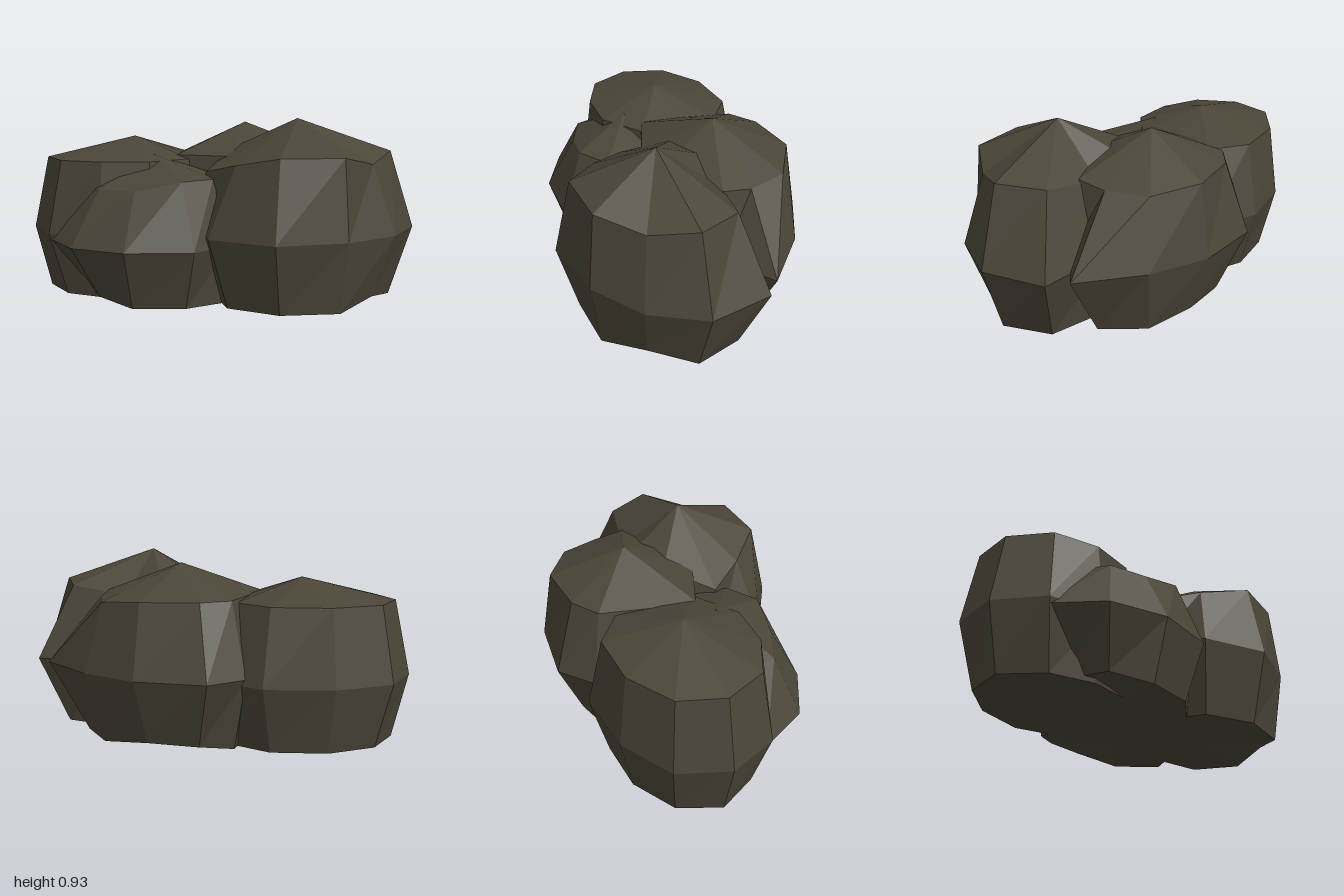
import * as THREE from 'three';

const SIDES = 10;

// One faceted boulder: base, waist and shoulder rings of radii, closed by a flat base and a peaked top.
// Radii follow the listed angles, in degrees from +x towards +z; dip shifts single corners up or down.
function boulder({ x, z, peak, angles, rings }) {
  const pos = [];
  const index = [];
  for (const { y, r, dip = {} } of rings) {
    for (let i = 0; i < SIDES; i++) {
      const a = THREE.MathUtils.degToRad(angles[i]);
      pos.push(x + Math.cos(a) * r[i], y + (dip[i] || 0), z + Math.sin(a) * r[i]);
    }
  }
  const base = pos.length / 3;
  const top = base + 1;
  pos.push(x, 0, z, x, peak, z);
  const last = (rings.length - 1) * SIDES;
  for (let i = 0; i < SIDES; i++) {
    const j = (i + 1) % SIDES;
    for (let k = 0; k < last; k += SIDES) {
      const a = k + i, b = k + j, c = a + SIDES, d = b + SIDES;
      index.push(a, c, b, b, c, d);
    }
    index.push(base, i, j, top, last + j, last + i);
  }
  const g = new THREE.BufferGeometry();
  g.setAttribute('position', new THREE.Float32BufferAttribute(pos, 3));
  g.setIndex(index);
  const flat = g.toNonIndexed();
  flat.computeVertexNormals();
  return flat;
}

export function createModel() {
  const group = new THREE.Group();
  group.name = 'rockCluster';
  const stone = new THREE.MeshStandardMaterial({ color: 0x4b4538 });
  stone.name = 'darkStone';

  const boulders = {
    frontLeftBoulder: {
      x: 0.38, z: 0.2, peak: 0.93,
      angles: [0, 30, 67, 111, 150, 180, 216, 252, 288, 330],
      rings: [
        { y: 0, r: [0.5, 0.41, 0.4, 0.4, 0.44, 0.42, 0.4, 0.38, 0.38, 0.5], dip: { 1: 0.04 } },
        { y: 0.36, r: [0.62, 0.52, 0.457, 0.503, 0.555, 0.52, 0.45, 0.42, 0.43, 0.66] },
        { y: 0.76, r: [0.49, 0.4, 0.416, 0.415, 0.39, 0.47, 0.39, 0.34, 0.31, 0.46], dip: { 1: -0.05, 4: -0.05, 5: -0.1, 8: -0.06, 9: -0.015 } },
      ],
    },
    backLeftBoulder: {
      x: 0.16, z: -0.21, peak: 0.89,
      angles: [0, 20, 72, 108, 150, 180, 222, 248, 292, 330],
      rings: [
        { y: 0, r: [0.5, 0.4, 0.35, 0.35, 0.4, 0.36, 0.4, 0.35, 0.34, 0.42], dip: { 7: 0.02, 8: 0.03 } },
        { y: 0.36, r: [0.71, 0.5, 0.4, 0.4, 0.48, 0.4, 0.48, 0.497, 0.453, 0.52] },
        { y: 0.73, r: [0.42, 0.44, 0.36, 0.36, 0.45, 0.35, 0.38, 0.37, 0.39, 0.42], dip: { 0: -0.02, 9: -0.02 } },
      ],
    },
    backRightBoulder: {
      x: -0.45, z: -0.16, peak: 0.82,
      angles: [0, 35, 78, 117, 150, 180, 210, 247, 291, 325],
      rings: [
        { y: 0, r: [0.4, 0.38, 0.35, 0.36, 0.42, 0.47, 0.43, 0.37, 0.38, 0.42] },
        { y: 0.33, r: [0.42, 0.4, 0.4, 0.42, 0.52, 0.55, 0.52, 0.444, 0.47, 0.5] },
        { y: 0.71, r: [0.32, 0.35, 0.35, 0.37, 0.44, 0.47, 0.45, 0.39, 0.39, 0.38] },
      ],
    },
    frontRightBoulder: {
      x: -0.35, z: 0.07, peak: 0.74,
      angles: [0, 36, 67, 111, 148, 180, 216, 252, 288, 324],
      rings: [
        { y: 0, r: [0.4, 0.42, 0.37, 0.34, 0.34, 0.33, 0.25, 0.25, 0.25, 0.3], dip: { 4: 0.03, 5: 0.02 } },
        { y: 0.3, r: [0.4, 0.46, 0.466, 0.44, 0.495, 0.55, 0.3, 0.3, 0.3, 0.3] },
        { y: 0.58, r: [0.3, 0.36, 0.336, 0.285, 0.33, 0.32, 0.25, 0.25, 0.25, 0.25], dip: { 0: 0.06, 1: 0.05, 2: 0.05 } },
      ],
    },
  };

  for (const [name, spec] of Object.entries(boulders)) {
    const mesh = new THREE.Mesh(boulder(spec), stone);
    mesh.name = name;
    group.add(mesh);
  }
  return group;
}
